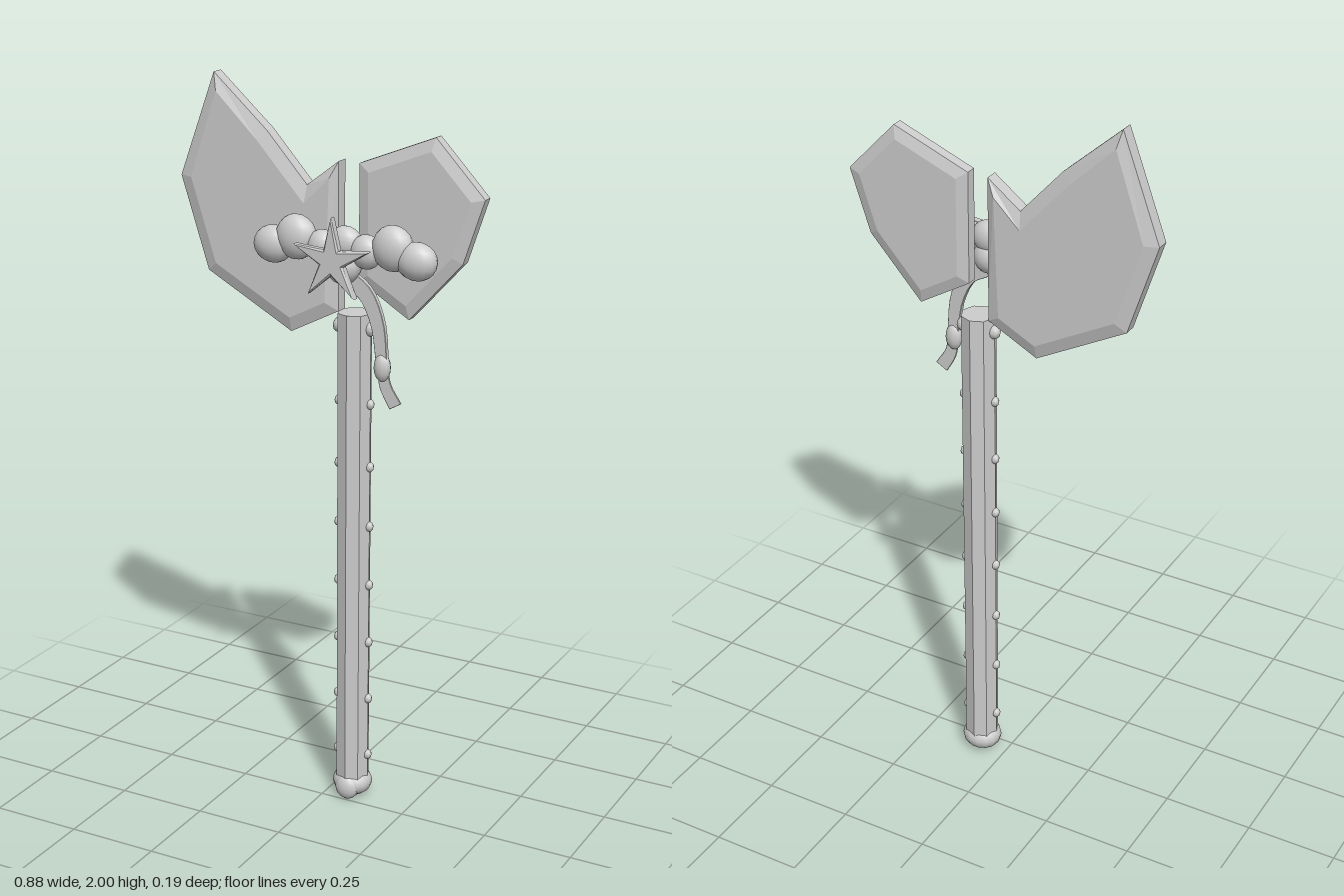
import * as THREE from 'three';

const grey = new THREE.MeshStandardMaterial({ color: 0xcccccc });
grey.name = 'plain grey';
grey.side = THREE.DoubleSide;

const AXIS_X = 0.073, AXIS_Z = -0.045;

export function createModel() {
  const model = new THREE.Group();
  model.name = 'ribbonAxe';

  const add = (name, geometry, x = 0, y = 0, z = 0) => {
    const mesh = new THREE.Mesh(geometry, grey);
    mesh.name = name;
    mesh.position.set(x, y, z);
    model.add(mesh);
    return mesh;
  };

  const ball = (name, [x, y, z], [rx, ry, rz], w = 14, h = 10) =>
    add(name, new THREE.SphereGeometry(1, w, h).scale(rx, ry, rz), x, y, z);

  // Flat plate between two depths, with bevelled rims kept inside the outline
  const plate = (name, outline, z0, z1, inset, rim) => {
    const shape = new THREE.Shape(outline.map(([x, y]) => new THREE.Vector2(x, y)));
    const geometry = new THREE.ExtrudeGeometry(shape, {
      depth: z1 - z0 - 2 * rim, bevelEnabled: true, bevelSegments: 1,
      bevelThickness: rim, bevelSize: inset, bevelOffset: -inset,
    });
    return add(name, geometry, 0, 0, z0 + rim);
  };

  // Octagonal handle
  const shaft = new THREE.CylinderGeometry(0.047, 0.047, 1.355, 8).toNonIndexed();
  shaft.computeVertexNormals();
  add('handle', shaft, AXIS_X, 0.7275, AXIS_Z);

  // Studs along both sides
  const studHeights = [0.135, 0.306, 0.476, 0.645, 0.815, 0.984, 1.159, 1.365];
  for (const side of [-1, 1]) {
    studHeights.forEach((y, i) => {
      const r = i === studHeights.length - 1 ? 0.02 : 0.014;
      ball('stud', [AXIS_X + side * 0.046, y, AXIS_Z], [r * 0.9, r, r * 0.9], 8, 6);
    });
  }

  // Pommel with a smaller bead in front
  ball('pommel', [AXIS_X, 0.046, AXIS_Z], [0.056, 0.042, 0.052]);
  ball('pommelBead', [AXIS_X, 0.038, -0.01], [0.034, 0.036, 0.022]);

  // Blades
  plate('largeBlade', [
    [-0.335, 2.0], [-0.44, 1.72], [-0.36, 1.47], [-0.108, 1.333],
    [0.032, 1.405], [0.032, 1.80], [-0.06, 1.73], [-0.177, 1.86],
  ], -0.078, -0.018, 0.035, 0.012);
  plate('smallBlade', [
    [0.09, 1.80], [0.09, 1.495], [0.235, 1.407], [0.383, 1.57], [0.44, 1.74], [0.303, 1.884],
  ], -0.073, -0.023, 0.03, 0.01);

  // Bow made of rounded puffs
  for (const side of [-1, 1]) {
    ball('bowInnerPuff', [AXIS_X + side * 0.063, 1.585, 0.015], [0.045, 0.045, 0.034]);
    ball('bowMiddlePuff', [AXIS_X + side * 0.139, 1.603, 0.017], [0.058, 0.06, 0.037]);
    ball('bowEndPuff', [AXIS_X + side * 0.206, 1.577, 0.017], [0.057, 0.05, 0.037]);
  }
  ball('bowKnotTop', [AXIS_X, 1.6, 0.01], [0.048, 0.045, 0.032]);
  ball('bowKnot', [AXIS_X, 1.545, 0.02], [0.048, 0.05, 0.046]);

  // Five-pointed star
  const star = Array.from({ length: 10 }, (_, i) => {
    const a = Math.PI / 2 + i * Math.PI / 5, r = i % 2 ? 0.036 : 0.113;
    return [AXIS_X + r * Math.cos(a), 1.568 + r * Math.sin(a)];
  });
  plate('star', star, 0.068, 0.094, 0.005, 0.005);

  // Trailing ribbon, swept along a curve
  const strip = (name, points, w0, w1, z0, z1) => {
    const curve = new THREE.CatmullRomCurve3(points.map(([x, y]) => new THREE.Vector3(x, y, 0)));
    const left = [], right = [];
    for (let i = 0; i <= 10; i++) {
      const t = i / 10, p = curve.getPoint(t), d = curve.getTangent(t);
      const h = (w0 + (w1 - w0) * t) / 2;
      left.push([p.x + d.y * h, p.y - d.x * h]);
      right.unshift([p.x - d.y * h, p.y + d.x * h]);
    }
    plate(name, [...left, ...right], z0, z1, 0.001, 0.001);
  };
  strip('ribbon', [[0.085, 1.51], [0.135, 1.475], [0.17, 1.40], [0.183, 1.30]], 0.05, 0.032, 0.006, 0.02);
  strip('ribbonTail', [[0.183, 1.29], [0.193, 1.235], [0.222, 1.185]], 0.03, 0.038, 0.01, 0.015);
  ball('ribbonBead', [0.183, 1.285, 0.013], [0.024, 0.038, 0.019], 10, 8);

  return model;
}
